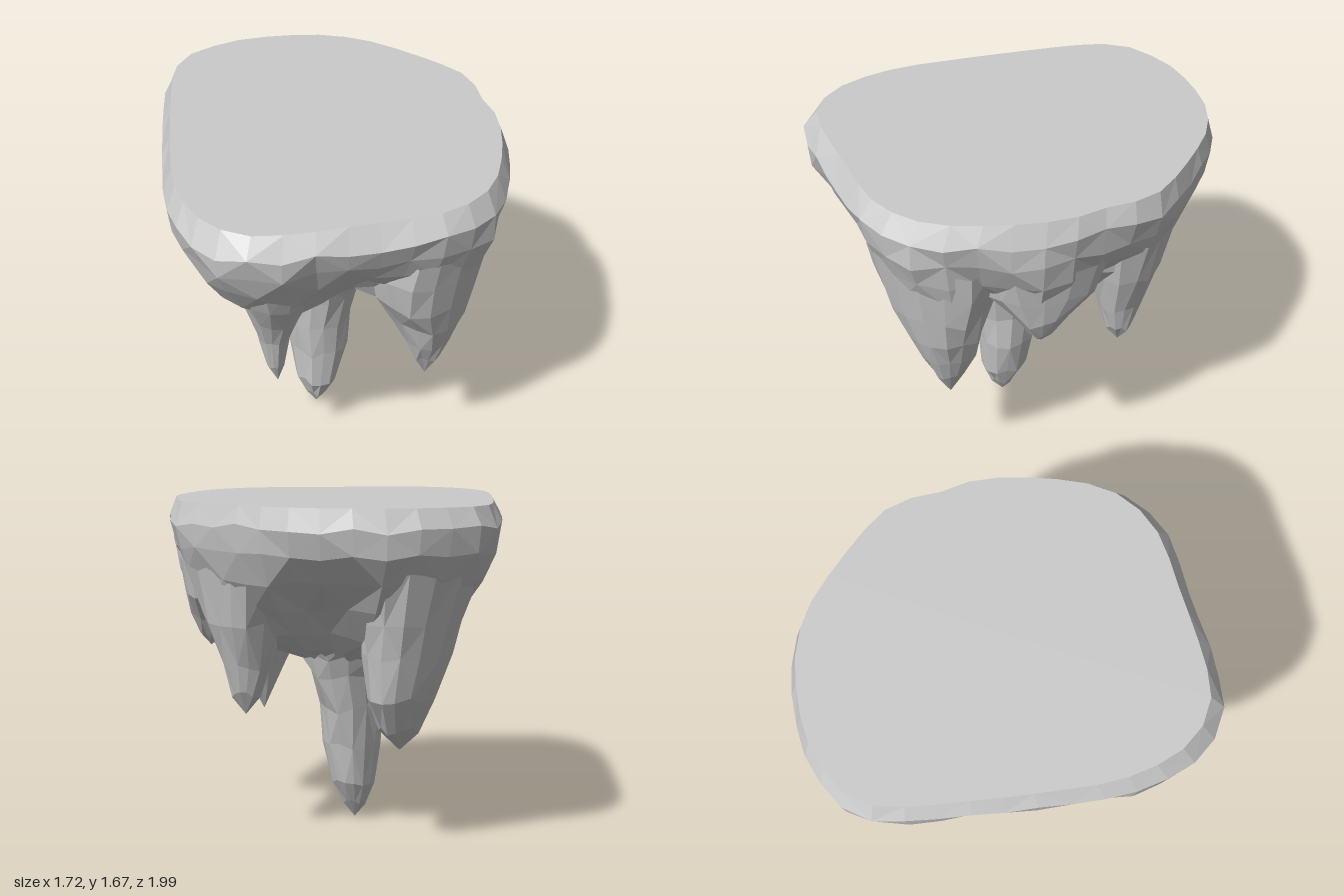
import * as THREE from 'three';

// repeatable noise in -1..1
const noise = (a, b) => {
  const s = Math.sin(a * 127.1 + b * 311.7) * 43758.5453;
  return (s - Math.floor(s)) * 2 - 1;
};

// skins rings of equal point count, listed from top to bottom
function loft(rings, name, material) {
  const n = rings[0].length, pos = [], idx = [];
  rings.forEach(r => r.forEach(p => pos.push(p.x, p.y, p.z)));
  for (let i = 0; i < rings.length - 1; i++) {
    for (let j = 0; j < n; j++) {
      const a = i * n + j, b = i * n + (j + 1) % n, c = a + n, d = b + n;
      if ((i + j) % 2) idx.push(a, b, c, b, d, c);
      else idx.push(a, b, d, a, d, c);
    }
  }
  const geo = new THREE.BufferGeometry();
  geo.setAttribute('position', new THREE.Float32BufferAttribute(pos, 3));
  geo.setIndex(idx);
  geo.computeVertexNormals();
  const mesh = new THREE.Mesh(geo, material);
  mesh.name = name;
  return mesh;
}

// widest outline of the slab, as x, z
const OUTLINE = [
  [-0.1, -1], [0.14, -0.95], [0.4, -0.8], [0.66, -0.6], [0.73, -0.5], [0.77, -0.32],
  [0.83, -0.17], [0.855, 0], [0.84, 0.3], [0.79, 0.52], [0.7, 0.66], [0.54, 0.78],
  [0.2, 0.88], [-0.05, 0.95], [-0.33, 0.995], [-0.52, 0.92], [-0.64, 0.78], [-0.74, 0.55],
  [-0.79, 0.25], [-0.83, -0.1], [-0.86, -0.5], [-0.85, -0.62], [-0.8, -0.74],
  [-0.55, -0.92], [-0.32, -0.98],
];

// hollows between the hanging rocks: angle in degrees, width, depth
const HOLLOWS = [[17, 8, 0.8], [76, 17, 0.85], [172, 25, 0.9], [266, 14, 0.8], [333, 11, 0.9]];

// body levels: y, outline scale, share of the hollows, shift in z
const LEVELS = [
  [1.67, 0, 0, 0], [1.67, 0.95, 0, -0.02], [1.57, 1, 0, 0], [1.45, 0.975, 0.03, 0],
  [1.32, 0.915, 0.1, 0], [1.17, 0.81, 0.28, 0], [1.03, 0.65, 0.38, 0],
  [0.94, 0.44, 0.28, 0], [0.88, 0.24, 0, 0], [0.87, 0, 0, 0],
];

// hanging rocks: rings of y, centre x, centre z, radius x, radius z
const ROCKS = {
  centreSpike: [
    [0.98, -0.05, 0.02, 0.3, 0.36], [0.88, -0.05, 0.01, 0.235, 0.28], [0.78, -0.05, 0.01, 0.19, 0.235],
    [0.6, -0.07, 0.02, 0.165, 0.185], [0.4, -0.065, 0.03, 0.145, 0.15],
    [0.2, -0.075, 0.04, 0.105, 0.12], [0.08, -0.08, 0.045, 0.055, 0.065], [0, -0.08, 0.05, 0, 0]],
  frontLeftSpike: [
    [1.38, 0.53, 0.44, 0.3, 0.35], [1.22, 0.49, 0.43, 0.3, 0.31], [1.05, 0.47, 0.42, 0.25, 0.25],
    [0.88, 0.48, 0.4, 0.18, 0.18], [0.75, 0.49, 0.39, 0.12, 0.13], [0.62, 0.485, 0.39, 0.07, 0.075],
    [0.49, 0.48, 0.39, 0, 0]],
  backRightSpike: [
    [1.36, -0.5, -0.55, 0.3, 0.34], [1.12, -0.45, -0.5, 0.24, 0.29],
    [0.95, -0.42, -0.49, 0.22, 0.24], [0.75, -0.4, -0.48, 0.165, 0.2], [0.58, -0.38, -0.45, 0.1, 0.11],
    [0.47, -0.38, -0.42, 0, 0]],
  frontRightSpike: [
    [1.36, -0.25, 0.57, 0.32, 0.33], [1.14, -0.24, 0.54, 0.2, 0.26],
    [0.98, -0.25, 0.53, 0.125, 0.18], [0.82, -0.26, 0.53, 0.075, 0.1], [0.65, -0.26, 0.52, 0.045, 0.055],
    [0.53, -0.25, 0.52, 0, 0]],
  backLeftSpike: [
    [1.36, 0.36, -0.53, 0.3, 0.3], [1.1, 0.365, -0.5, 0.2, 0.19],
    [0.87, 0.36, -0.47, 0.12, 0.11], [0.73, 0.37, -0.47, 0.07, 0.065], [0.63, 0.37, -0.47, 0, 0]],
  sideSpur: [
    [1.38, 0.6, -0.04, 0.24, 0.34], [1.18, 0.63, -0.04, 0.17, 0.26],
    [1.05, 0.645, -0.03, 0.12, 0.14], [0.95, 0.655, -0.03, 0.06, 0.06], [0.9, 0.66, -0.03, 0, 0]],
  innerKnob: [
    [1.15, -0.46, -0.2, 0.16, 0.15], [0.92, -0.45, -0.23, 0.13, 0.12],
    [0.79, -0.43, -0.27, 0.09, 0.07], [0.74, -0.42, -0.28, 0, 0]],
};

export function createModel() {
  const group = new THREE.Group();
  group.name = 'floatingRock';
  const stone = new THREE.MeshStandardMaterial({ color: 0xcccccc, flatShading: true });
  // the +x flank hangs fuller than the rest
  const flank = p => Math.max(0, p.x / Math.hypot(p.x, p.z));

  // flat-topped body
  const curve = new THREE.CatmullRomCurve3(OUTLINE.map(([x, z]) => new THREE.Vector3(x, 0, z)), true);
  const rim = curve.getSpacedPoints(40).slice(0, -1);
  const hollow = p => {
    const angle = THREE.MathUtils.radToDeg(Math.atan2(p.z, p.x));
    return HOLLOWS.reduce((sum, [at, width, depth]) => {
      const d = THREE.MathUtils.euclideanModulo(angle - at + 180, 360) - 180;
      return sum + depth * Math.exp(-((d / width) ** 2));
    }, -0.4 * flank(p));
  };
  const body = LEVELS.map(([y, scale, share, shift], i) => rim.map((p, j) => {
    const rough = i > 2 && scale > 0 ? 0.018 : 0;
    const s = scale * (1 - share * hollow(p) + rough * noise(i, j));
    const lift = i > 1 && scale > 0 ? 0.02 * noise(j, i + 9) : 0;
    return new THREE.Vector3(p.x * s, y + lift, p.z * s + shift);
  }));
  group.add(loft(body, 'body', stone));

  // keeps a rock point inside the tapering outline so its top melts into the body
  const contain = p => {
    const facing = q => (q.x * p.x + q.z * p.z) / Math.hypot(q.x, q.z);
    const edge = rim.reduce((best, q) => (facing(q) > facing(best) ? q : best));
    const taper = 0.97 - (0.33 - 0.15 * flank(p)) * (1.5 - p.y);
    const k = Math.min(1, Math.hypot(edge.x, edge.z) * taper / Math.hypot(p.x, p.z));
    return p.set(p.x * k, p.y, p.z * k);
  };

  // hanging rocks, slightly uneven
  Object.entries(ROCKS).forEach(([name, rows], k) => {
    const sides = 14;
    const rings = rows.map(([y, cx, cz, rx, rz], i) => Array.from({ length: sides }, (_, j) => {
      const a = (j / sides) * Math.PI * 2 + k;
      const s = 1 + 0.05 * noise(i + k * 7, j);
      const lift = rx > 0 ? 0.02 * noise(j + 3, i + k) : 0;
      return contain(new THREE.Vector3(cx + Math.cos(a) * rx * s, y + lift, cz + Math.sin(a) * rz * s));
    }));
    group.add(loft(rings, name, stone));
  });
  return group;
}
